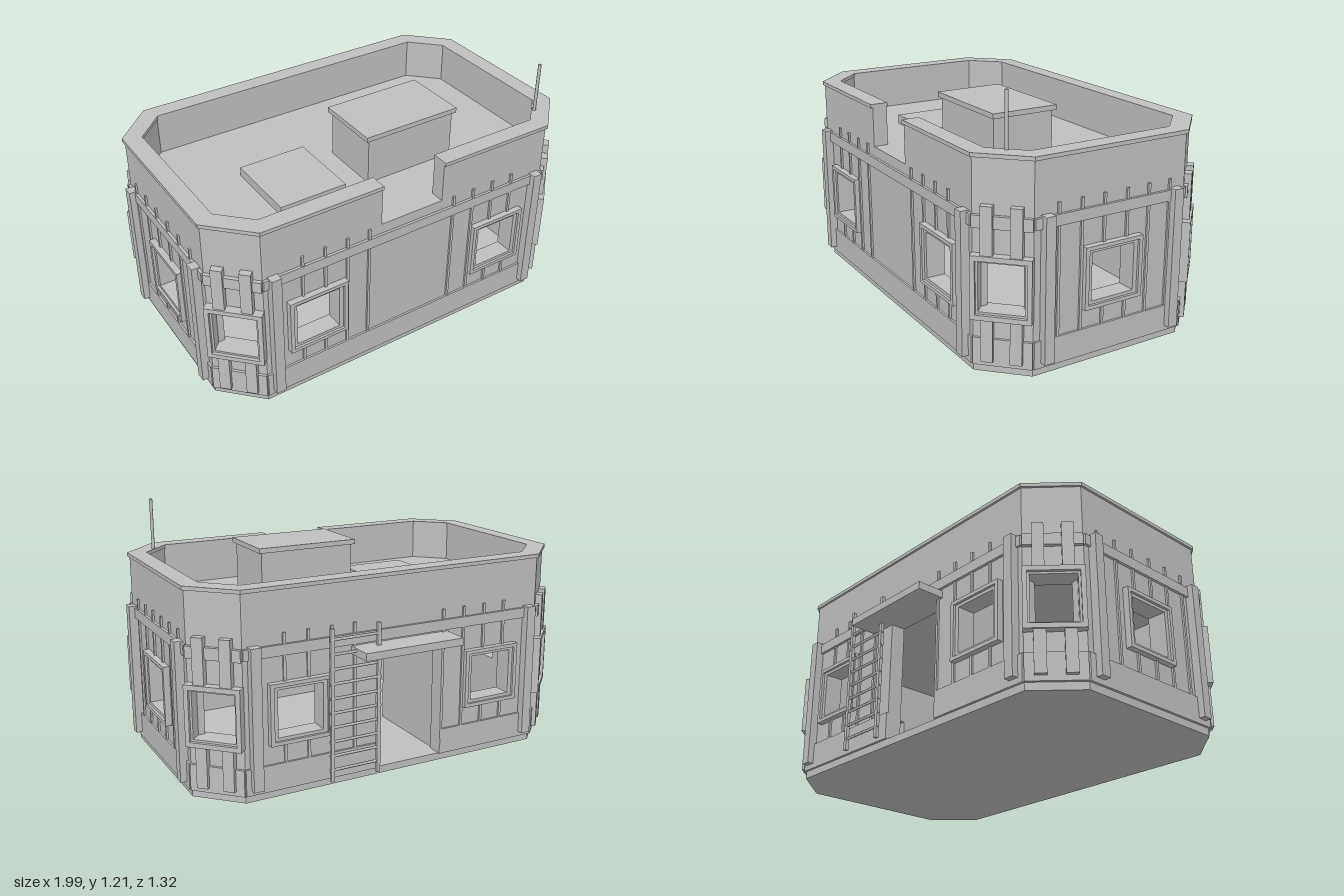
import * as THREE from 'three';

const gray = new THREE.MeshStandardMaterial({ color: 0xbfbfbf });
gray.name = 'plain gray';

const HX = 0.955, HZ = 0.5725, CUT = 0.182; // half sizes and corner cut of the plan
const ZC = 0.0475;                          // centre of the plan along z
const THICK = 0.072, FLOOR = 0.035, ROOF = 0.755, TOP = 0.945;
const WIN_Y = 0.395, WIN = 0.22;            // window centre height and opening

function add(parent, geometry, name) {
  const mesh = new THREE.Mesh(geometry, gray);
  mesh.name = name;
  parent.add(mesh);
  return mesh;
}

// Box given by its limits on each axis
function box(parent, name, x0, x1, y0, y1, z0, z1) {
  const mesh = add(parent, new THREE.BoxGeometry(x1 - x0, y1 - y0, z1 - z0), name);
  mesh.position.set((x0 + x1) / 2, (y0 + y1) / 2, (z0 + z1) / 2);
  return mesh;
}

function rectPath(Type, u, y, w, h) {
  const p = new Type();
  p.moveTo(u - w / 2, y - h / 2);
  p.lineTo(u + w / 2, y - h / 2);
  p.lineTo(u + w / 2, y + h / 2);
  p.lineTo(u - w / 2, y + h / 2);
  p.closePath();
  return p;
}

function extrude(shape, depth) {
  return new THREE.ExtrudeGeometry(shape, { depth, bevelEnabled: false });
}

// Rectangular ring standing out from a wall
function ring(parent, name, u, w, h, holeW, holeH, z0, z1) {
  const shape = rectPath(THREE.Shape, u, WIN_Y, w, h);
  shape.holes.push(rectPath(THREE.Path, u, WIN_Y, holeW, holeH));
  add(parent, extrude(shape, z1 - z0), name).position.z = z0;
}

// Horizontal slab with cut corners
function slab(parent, name, inset, y0, y1) {
  const x = HX - inset, z = HZ - inset, c = CUT - inset * 0.586;
  const pts = [[x, z - c], [x - c, z], [c - x, z], [-x, z - c], [-x, c - z], [c - x, -z], [x - c, -z], [x, c - z]];
  const shape = new THREE.Shape(pts.map(([a, b]) => new THREE.Vector2(a, b)));
  const geometry = extrude(shape, y1 - y0).rotateX(-Math.PI / 2);
  add(parent, geometry, name).position.y = y0;
}

// Vertical strip, left out where it would cross a window
function strip(parent, name, u, w, y0, y1, depth, windows, frameW) {
  const crosses = windows.some(c => Math.abs(u - c) < frameW / 2);
  const spans = crosses ? [[y0, 0.255], [0.535, y1]] : [[y0, y1]];
  for (const [a, b] of spans) box(parent, name, u - w / 2, u + w / 2, a, b, -0.005, depth);
}

// One wall; its local z points outward and y = 0 is the ground
function wall(parent, name, x, z, angle, len, opt) {
  const g = new THREE.Group();
  g.name = name;
  g.position.set(x, 0, z);
  g.rotation.y = angle;
  parent.add(g);

  const h = len / 2, pts = [[-h, FLOOR]];
  if (opt.door) pts.push([opt.door[0], FLOOR], [opt.door[0], 0.61], [opt.door[1], 0.61], [opt.door[1], FLOOR]);
  pts.push([h, FLOOR], [h, TOP]);
  if (opt.gap) pts.push([opt.gap, TOP], [opt.gap, ROOF], [-opt.gap, ROOF], [-opt.gap, TOP]);
  pts.push([-h, TOP]);
  const shape = new THREE.Shape(pts.map(([a, b]) => new THREE.Vector2(a, b)));
  const openW = opt.corner ? 0.2 : WIN;
  for (const u of opt.windows) shape.holes.push(rectPath(THREE.Path, u, WIN_Y, openW, WIN));
  add(g, extrude(shape, THICK), 'wallPanel').position.z = -THICK;

  // Coping on the parapet
  const e = h + 0.004;
  const copings = opt.gap ? [[-e, -opt.gap], [opt.gap, e]] : [[-e, e]];
  for (const [a, b] of copings) box(g, 'coping', a, b, TOP, 0.963, -THICK - 0.004, 0.01);

  // Window frames
  for (const u of opt.windows) {
    if (opt.corner) {
      ring(g, 'windowFrame', u, 0.262, 0.285, 0.22, 0.24, -0.005, 0.04);
      ring(g, 'windowTrim', u, 0.225, 0.245, 0.2, 0.22, -0.03, 0.025);
    } else {
      ring(g, 'windowFrame', u, 0.3, 0.285, 0.262, 0.25, -0.005, 0.03);
      ring(g, 'windowTrim', u, 0.265, 0.253, WIN, WIN, -0.03, 0.018);
    }
  }

  if (opt.corner) {
    for (const s of [-1, 1]) strip(g, 'cornerPost', s * 0.063, 0.052, 0.06, 0.75, 0.032, opt.windows, 0.262);
    box(g, 'cornerBand', -h, h, 0.65, 0.705, -0.005, 0.018);
    box(g, 'cornerBand', -h, h, FLOOR, 0.16, -0.005, 0.012);
    return;
  }
  // Bands, battens and end posts
  box(g, 'upperBand', -h, h, 0.655, 0.705, -0.005, 0.013);
  const lower = opt.door ? [[-h, opt.door[0]], [opt.door[1], h]] : [[-h, h]];
  for (const [a, b] of lower) box(g, 'lowerBand', a, b, FLOOR, 0.16, -0.005, 0.01);
  for (const u of opt.battens) strip(g, 'batten', u, 0.013, FLOOR, ROOF, 0.009, opt.windows, 0.3);
  for (const s of [-1, 1]) box(g, 'endPost', s * opt.post - 0.024, s * opt.post + 0.024, 0.06, 0.713, -0.005, 0.04);
}

export function createModel() {
  const model = new THREE.Group();
  model.name = 'building';
  const body = new THREE.Group();
  body.name = 'body';
  body.position.z = ZC;
  model.add(body);

  slab(body, 'base', 0.002, 0, FLOOR);
  slab(body, 'roofDeck', THICK - 0.004, 0.72, ROOF);

  // Long and short walls
  const longLen = 2 * (HX - CUT), sideLen = 2 * (HZ - CUT);
  const longBattens = [-0.58, -0.465, -0.35, -0.235, 0.235, 0.35, 0.465, 0.58];
  const sideBattens = [-0.2725, -0.1575, -0.0425, 0.0775, 0.1925, 0.3075];
  const long = { windows: [-0.51, 0.505], battens: longBattens, post: 0.725 };
  const side = { windows: [0], battens: sideBattens, post: 0.334 };
  wall(body, 'frontWall', 0, HZ, 0, longLen, { ...long, gap: 0.167 });
  wall(body, 'backWall', 0, -HZ, Math.PI, longLen, { ...long, door: [-0.11, 0.23] });
  wall(body, 'leftWall', HX, 0, Math.PI / 2, sideLen, side);
  wall(body, 'rightWall', -HX, 0, -Math.PI / 2, sideLen, { ...side, battens: sideBattens.map(u => -u) });

  // Cut corners
  for (const sx of [-1, 1]) for (const sz of [-1, 1]) {
    wall(body, 'cornerWall', sx * (HX - CUT / 2), sz * (HZ - CUT / 2), Math.atan2(sx, sz),
      CUT * Math.SQRT2, { corner: true, windows: [0] });
  }

  // Roof hatch, roof box with lid, and aerial
  box(model, 'roofHatch', -0.51, -0.165, ROOF - 0.01, 0.8, -0.06, 0.325);
  box(model, 'roofBox', -0.036, 0.444, ROOF - 0.01, 0.99, 0.008, 0.318);
  box(model, 'roofBoxLid', -0.053, 0.46, 0.988, 1.012, -0.006, 0.33);
  const aerial = add(model, new THREE.CylinderGeometry(0.008, 0.008, 0.46, 8), 'aerial');
  aerial.position.set(0.82, 0.98, 0.485);

  // Canopy over the back door
  box(model, 'canopy', -0.26, 0.25, 0.61, 0.646, -0.66, -0.52);

  // Back ladder
  const ladder = new THREE.Group();
  ladder.name = 'ladder';
  model.add(ladder);
  for (const x of [0.135, 0.37]) box(ladder, 'ladderRail', x - 0.009, x + 0.009, FLOOR, 0.752, -0.577, -0.561);
  for (let i = 0; i < 10; i++) {
    const rung = add(ladder, new THREE.CylinderGeometry(0.007, 0.007, 0.26, 6).rotateZ(Math.PI / 2), 'ladderRung');
    rung.position.set(0.252, 0.09 + i * 0.068, -0.569);
  }

  // Inner partition and stairs
  box(model, 'partition', -0.27, -0.24, FLOOR, 0.725, -0.46, 0.025);
  for (let i = 0; i < 6; i++) {
    box(model, 'stairStep', -0.69 + i * 0.07, -0.62 + i * 0.07, FLOOR, 0.085 + i * 0.068, -0.2, 0.02);
  }
  return model;
}
